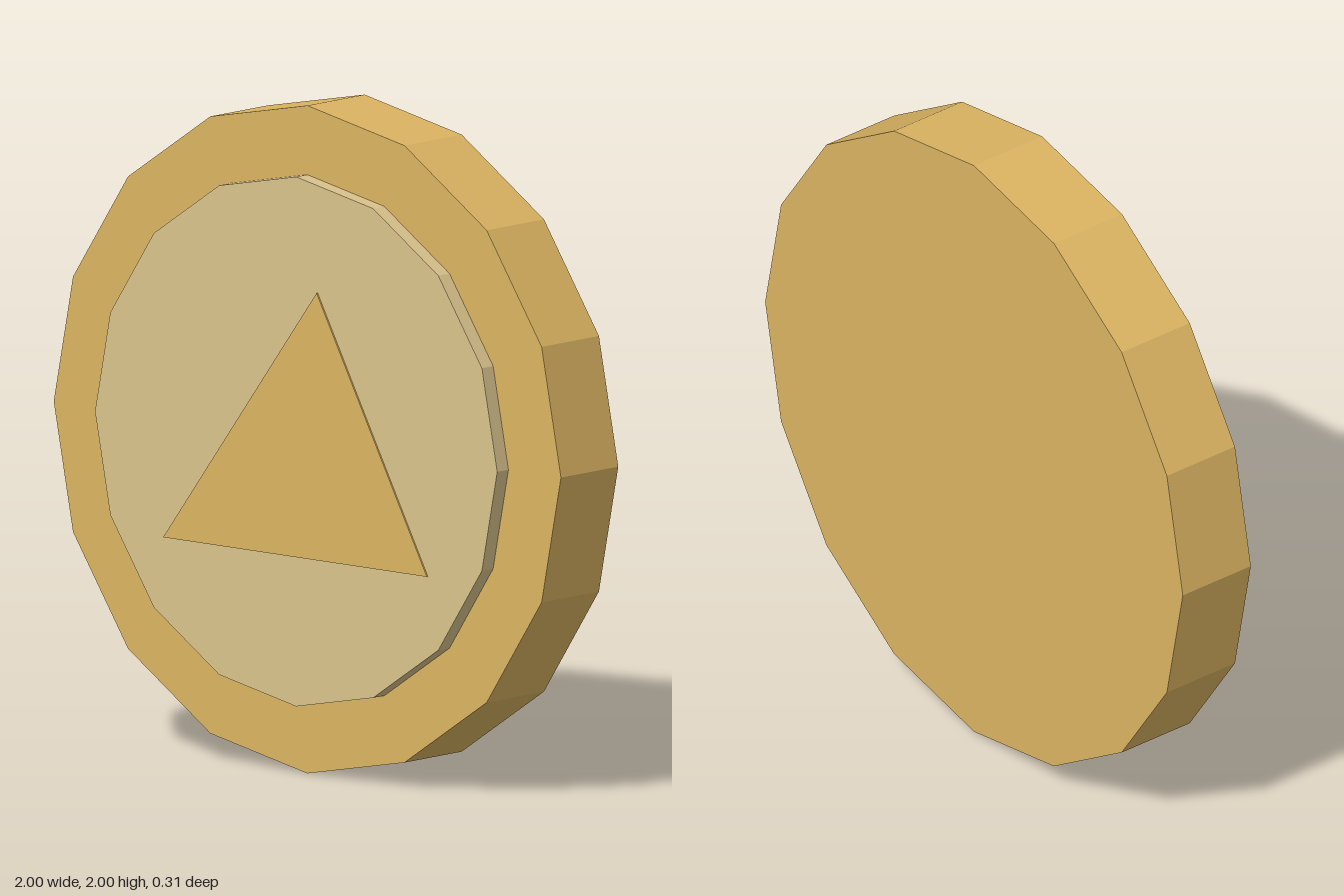
import * as THREE from 'three';

export function createModel() {
  const group = new THREE.Group();
  const gold = new THREE.MeshStandardMaterial({ name: 'gold', color: 0xdbb462, flatShading: true });
  const paleGold = new THREE.MeshStandardMaterial({ name: 'paleGold', color: 0xd9c38c, flatShading: true });

  // Sixteen-sided disc standing upright, from zBack to zFront
  function disc(name, radius, zBack, zFront, material) {
    const geometry = new THREE.CylinderGeometry(radius, radius, zFront - zBack, 16);
    geometry.rotateX(Math.PI / 2);
    const mesh = new THREE.Mesh(geometry, material);
    mesh.name = name;
    mesh.position.set(0, 1, (zBack + zFront) / 2);
    group.add(mesh);
  }
  disc('coinBody', 1, -0.155, 0.1, gold);
  disc('raisedPanel', 0.793, 0.1, 0.15, paleGold);

  // Thin triangular emblem on the panel
  const triangle = new THREE.Shape([
    new THREE.Vector2(-0.52, 0.655),
    new THREE.Vector2(0.52, 0.655),
    new THREE.Vector2(0.085, 1.455),
  ]);
  const emblem = new THREE.Mesh(
    new THREE.ExtrudeGeometry(triangle, { depth: 0.005, bevelEnabled: false }), gold);
  emblem.name = 'triangleEmblem';
  emblem.position.z = 0.15;
  group.add(emblem);

  return group;
}
